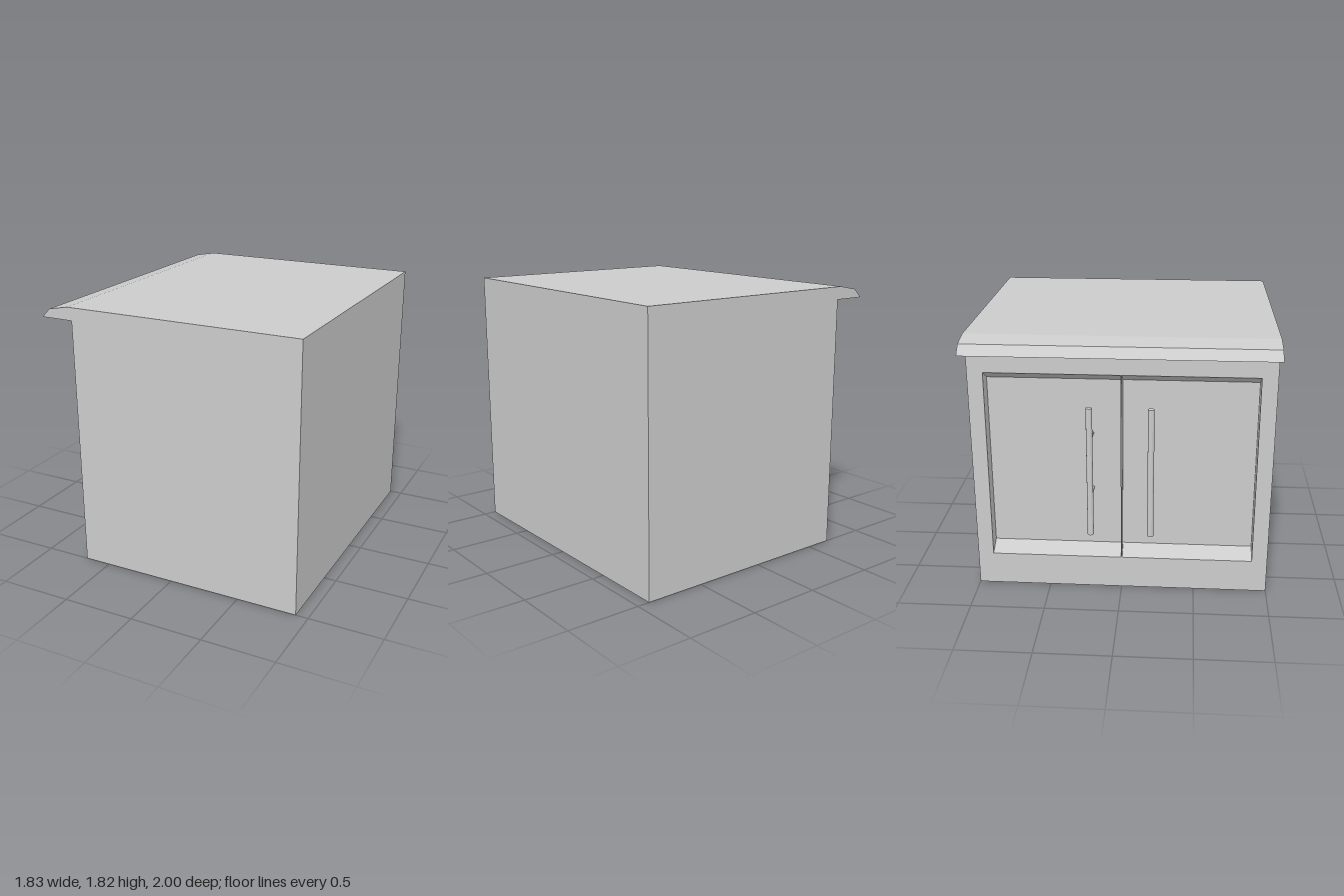
import * as THREE from 'three';

const FACE = -0.685;   // plane of the door side
const PANEL = -0.575;  // plane of the recessed door panels
const HALF = 0.895;    // half width of the door opening
const LOW = 0.23, HIGH = 1.555;

export function createModel() {
  const group = new THREE.Group();
  group.name = 'cabinet';
  const mat = new THREE.MeshStandardMaterial({ color: 0xcccccc, flatShading: true });

  const add = (name, geometry, x = 0, y = 0, z = 0) => {
    const mesh = new THREE.Mesh(geometry, mat);
    mesh.name = name;
    mesh.position.set(x, y, z);
    group.add(mesh);
    return mesh;
  };
  const toShape = (pts) => new THREE.Shape(pts.map(([x, y]) => new THREE.Vector2(x, y)));
  // Profile in x/y, extruded along z about the centre
  const slab = (pts, half) =>
    new THREE.ExtrudeGeometry(toShape(pts), { depth: half * 2, bevelEnabled: false }).translate(0, 0, -half);

  // Body and overhanging worktop in one side profile
  add('bodyAndWorktop', slab([
    [PANEL, 0], [0.915, 0], [0.915, 1.822], [-0.715, 1.822],
    [-0.855, 1.795], [-0.915, 1.735], [PANEL, 1.735],
  ], 1));

  // Wall around the door opening
  const frame = toShape([[-1, 0], [1, 0], [1, 1.735], [-1, 1.735]]);
  frame.holes.push(new THREE.Path([
    new THREE.Vector2(-HALF, LOW), new THREE.Vector2(-HALF, HIGH),
    new THREE.Vector2(HALF, HIGH), new THREE.Vector2(HALF, LOW),
  ]));
  const frameGeo = new THREE.ExtrudeGeometry(frame, { depth: PANEL - FACE, bevelEnabled: false });
  frameGeo.rotateY(-Math.PI / 2);
  add('doorFrame', frameGeo, PANEL);

  // Sloping sill and head of the opening
  add('sill', slab([[FACE, LOW], [PANEL, LOW], [PANEL, 0.287]], HALF));
  add('head', slab([[FACE, HIGH], [PANEL, 1.49], [PANEL, HIGH]], HALF));

  // Thin divider between the two doors
  add('divider', new THREE.BoxGeometry(PANEL - FACE, HIGH - LOW, 0.008),
    (PANEL + FACE) / 2, (HIGH + LOW) / 2, 0);

  // A bar handle on two posts for each door
  const barX = -0.785;
  for (const z of [-0.2, 0.2]) {
    add('handleBar', new THREE.CylinderGeometry(0.021, 0.021, 0.905, 12), barX, 0.9125, z);
    for (const y of [0.711, 1.113]) {
      const post = new THREE.CylinderGeometry(0.01, 0.01, PANEL - barX, 8).rotateZ(Math.PI / 2);
      add('handlePost', post, (PANEL + barX) / 2, y, z);
    }
  }
  return group;
}
